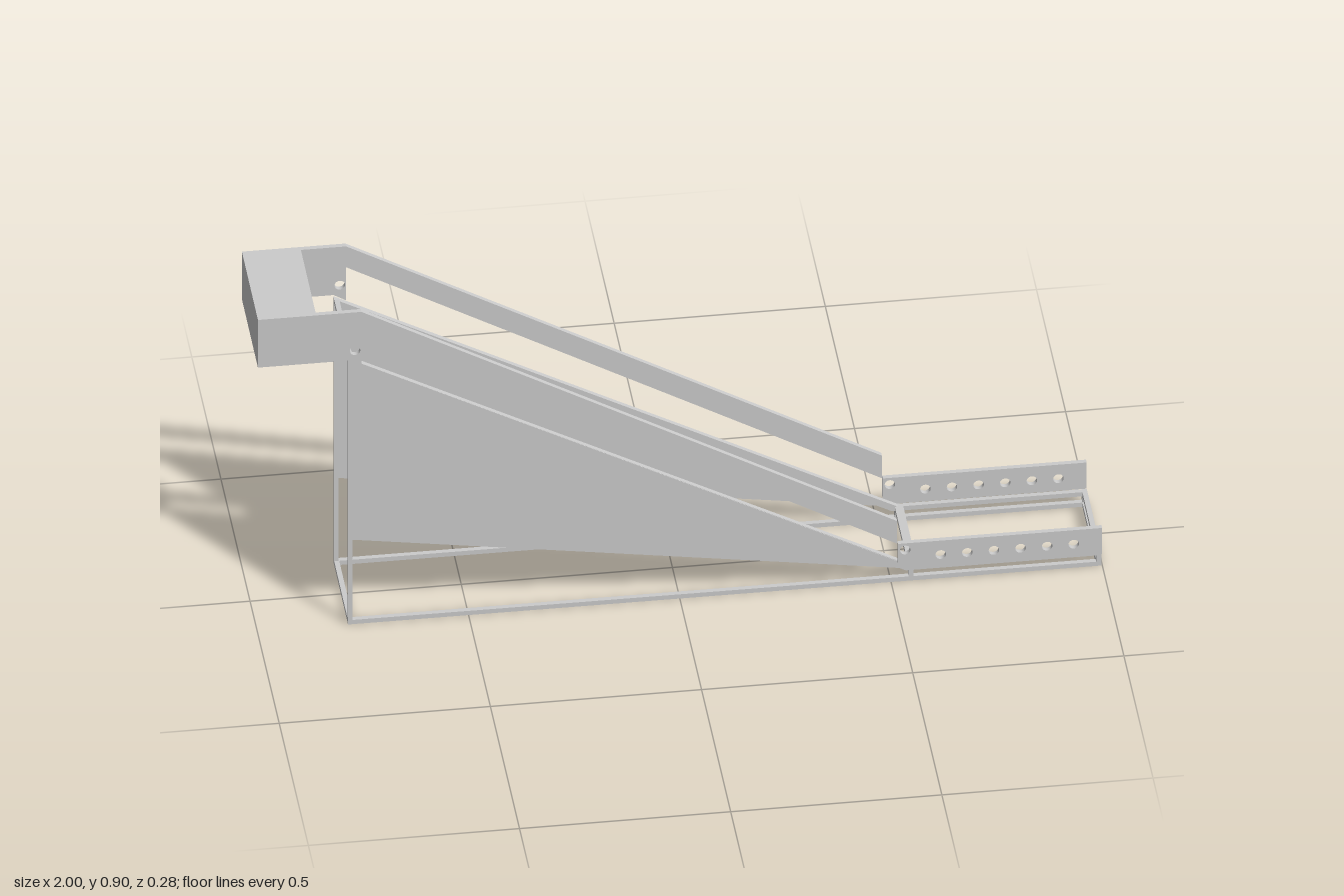
import * as THREE from 'three';

const T = 0.012; // bar and plate thickness
const PLATE_Z = 0.128; // inner face of the outer plates
const BAR_Z = 0.121; // centre line of the frame bars

export function createModel() {
  const model = new THREE.Group();
  const material = new THREE.MeshStandardMaterial({ color: 0xcccccc });

  function add(name, geometry, x = 0, y = 0, z = 0) {
    const mesh = new THREE.Mesh(geometry, material);
    mesh.name = name;
    mesh.position.set(x, y, z);
    model.add(mesh);
    return mesh;
  }

  // Axis-aligned box given by its limits
  function box(name, x0, x1, y0, y1, z0, z1) {
    add(name, new THREE.BoxGeometry(x1 - x0, y1 - y0, z1 - z0), (x0 + x1) / 2, (y0 + y1) / 2, (z0 + z1) / 2);
  }

  // Side-view outline with round holes, extruded along z
  function plate(points, depth, holes = [], radius = 0.0125) {
    const shape = new THREE.Shape(points.map(([x, y]) => new THREE.Vector2(x, y)));
    for (const [x, y] of holes) {
      shape.holes.push(new THREE.Path().absarc(x, y, radius, 0, Math.PI * 2, true));
    }
    return new THREE.ExtrudeGeometry(shape, { depth, bevelEnabled: false, curveSegments: 16 });
  }

  const armOutline = [
    [-1, 0.768], [-0.785, 0.768], [-0.755, 0.75], [-0.755, 0.845],
    [0.513, 0.118], [0.513, 0.183], [-0.755, 0.905], [-1, 0.905],
  ];
  const railOutline = [[0.515, 0.06], [0.545, 0.042], [0.998, 0.042], [0.998, 0.117], [0.515, 0.117]];
  const railHoles = [[0.532, 0.098]];
  for (let i = 0; i < 6; i++) railHoles.push([0.616 + i * 0.063, 0.077]);
  const panelOutline = [[-0.785, 0.245], [0.54, 0.036], [0.55, 0.04], [-0.785, 0.765]];
  const slopeOutline = [[-0.785, 0.751], [0.535, 0.03], [0.56, 0.03], [0.56, 0.036], [-0.785, 0.765]];

  for (const side of [1, -1]) {
    const label = side > 0 ? 'front' : 'back';
    const zStart = (inner, depth) => (side > 0 ? inner : -inner - depth);
    const z0 = side * BAR_Z - T / 2;
    const z1 = z0 + T;

    // Swinging arm, drilled rail and triangular cladding
    add(label + 'Arm', plate(armOutline, T, [[-0.77, 0.795]]), 0, 0, zStart(PLATE_Z, T));
    add(label + 'Rail', plate(railOutline, T, railHoles), 0, 0, zStart(PLATE_Z, T));
    add(label + 'SidePanel', plate(panelOutline, 0.003), 0, 0, zStart(0.125, 0.003));

    // Frame bars
    add(label + 'SlopeBar', plate(slopeOutline, T), 0, 0, z0);
    box(label + 'BaseBar', -0.785, 0.998, 0, T, z0, z1);
    box(label + 'TallPost', -0.785, -0.775, T, 0.757, z0, z1);
    box(label + 'UpperBar', 0.54, 0.998, 0.03, 0.042, z0, z1);
    box(label + 'MiddlePost', 0.542, 0.554, T, 0.03, z0, z1);
    box(label + 'EndPost', 0.986, 0.998, T, 0.03, z0, z1);

    // Corner post inside the head box
    box(label + 'HeadPost', -0.874, -0.862, 0.768, 0.893, z0, z1);
  }

  // Bars across the frame: [name, x0, y0]
  const inner = BAR_Z - T / 2;
  const crossBars = [
    ['tallBaseCrossBar', -0.785, 0],
    ['tallTopCrossBar', -0.785, 0.752],
    ['endBaseCrossBar', 0.986, 0],
    ['endUpperCrossBar', 0.986, 0.03],
  ];
  for (const [name, x, y] of crossBars) box(name, x, x + T, y, y + T, -inner, inner);
  box('middleCrossBar', 0.542, 0.562, 0.03, 0.042, -inner, inner);

  // Head box: top and end plates between the arms
  box('headTopPlate', -1, -0.862, 0.893, 0.905, -PLATE_Z, PLATE_Z);
  box('headEndPlate', -1, -0.988, 0.768, 0.893, -PLATE_Z, PLATE_Z);

  // Slight yaw of the whole assembly
  model.rotation.y = -0.0025;
  const group = new THREE.Group();
  group.name = 'loadingRamp';
  model.name = 'rampAssembly';
  group.add(model);
  return group;
}
